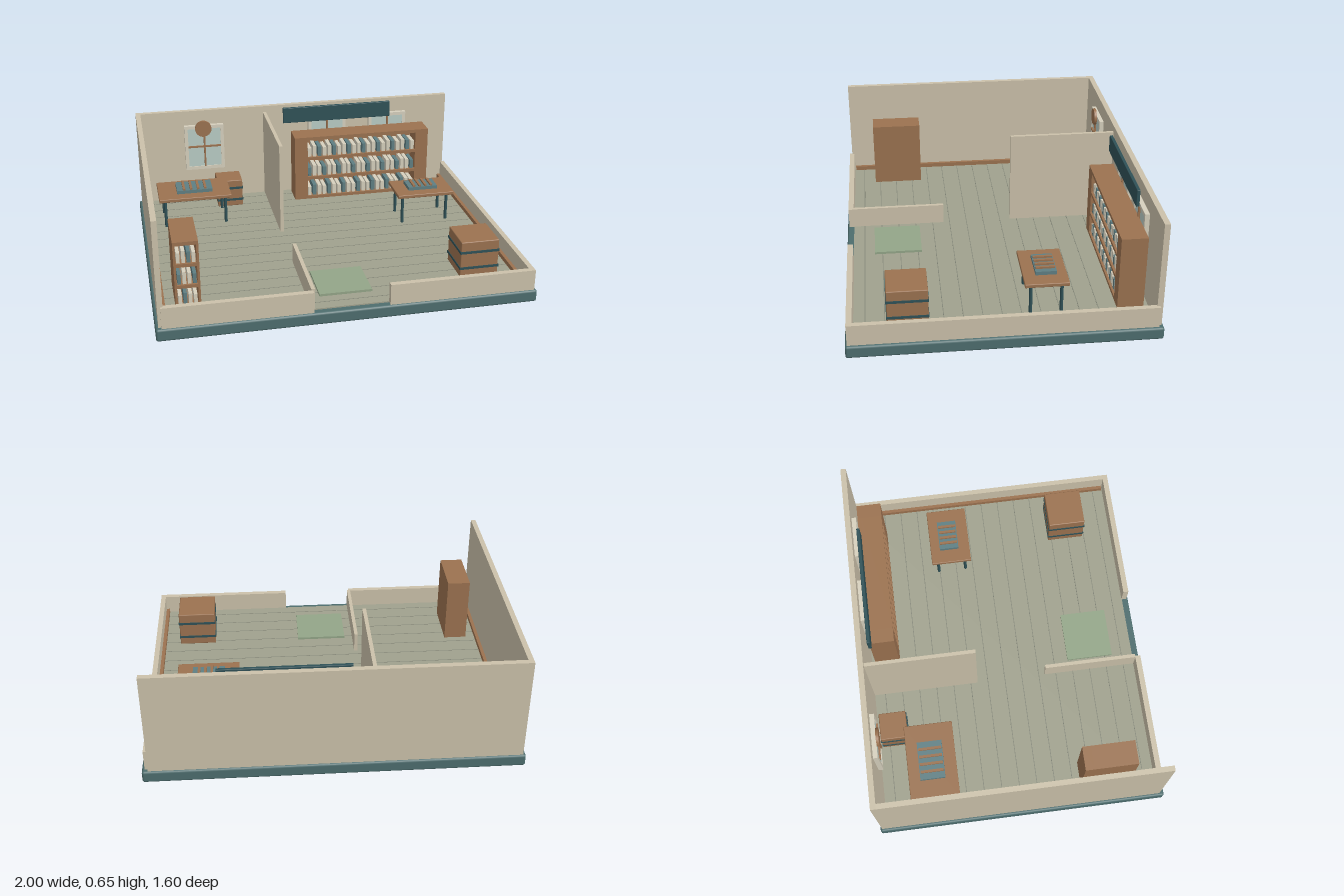
import * as THREE from 'three';
import { RoundedBoxGeometry } from 'three/addons/geometries/RoundedBoxGeometry.js';

const paint = (color) => new THREE.MeshStandardMaterial({ color });
const WALL = paint(0xcbc1aa), BASE = paint(0x4d6d6e), FLOOR = paint(0xa0a18d), SEAM = paint(0x85887a);
const WOOD = paint(0x9b7250), TEAL = paint(0x5f7f83), DARK = paint(0x2f5157), GLASS = paint(0xb9ccc5);
const CREAM = paint(0xd6d0bd), MAT = paint(0x93a588);
const FLOOR_Y = 0.075;

// Box given by its min and max on each axis
function box(parent, name, mat, x0, x1, y0, y1, z0, z1, round = 0) {
  const s = [x1 - x0, y1 - y0, z1 - z0];
  const geo = round ? new RoundedBoxGeometry(...s, 2, round) : new THREE.BoxGeometry(...s);
  const mesh = new THREE.Mesh(geo, mat);
  mesh.name = name;
  mesh.position.set((x0 + x1) / 2, (y0 + y1) / 2, (z0 + z1) / 2);
  parent.add(mesh);
  return mesh;
}

function group(parent, name) {
  const g = new THREE.Group();
  g.name = name;
  parent.add(g);
  return g;
}

// Open bookcase facing +z, with three rows of books
function bookcase(parent, name, x0, x1, z0, z1, top, side, back, count) {
  const g = group(parent, name);
  const a = x0 + side, b = x1 - side;
  box(g, 'sidePanel', WOOD, x0, a, FLOOR_Y, top, z0, z1);
  box(g, 'sidePanel', WOOD, b, x1, FLOOR_Y, top, z0, z1);
  box(g, 'backPanel', WOOD, a, b, FLOOR_Y, top, z0, z0 + back);
  box(g, 'topBoard', WOOD, a, b, top - 0.02, top, z0 + back, z1);
  const pitch = (top - 0.02 - FLOOR_Y) / 3;
  for (let row = 0; row < 3; row++) {
    const y = FLOOR_Y + row * pitch;
    box(g, 'shelf', WOOD, a, b, y, y + 0.018, z0 + back, z1);
    const step = (b - a) / count;
    for (let i = 0; i < count; i++) {
      const x = a + (i + 0.15) * step;
      const h = 0.056 + 0.006 * ((i * 5 + row * 3) % 3);
      box(g, 'book', (i + row) % 3 === 1 ? TEAL : CREAM, x, x + step * 0.68, y + 0.018, y + 0.018 + h, z0 + back, z1 - 0.012);
    }
  }
}

// Table with four round legs and a work tray on top
function table(parent, name, x0, x1, z0, z1, tray) {
  const g = group(parent, name);
  box(g, 'tableTop', WOOD, x0, x1, 0.241, 0.262, z0, z1, 0.004);
  const legGeo = new THREE.CylinderGeometry(0.009, 0.009, 0.241 - FLOOR_Y, 12);
  for (const x of [x0 + 0.035, x1 - 0.035]) {
    for (const z of [z0 + 0.035, z1 - 0.035]) {
      const leg = new THREE.Mesh(legGeo, DARK);
      leg.name = 'tableLeg';
      leg.position.set(x, (0.241 + FLOOR_Y) / 2, z);
      g.add(leg);
    }
  }
  const [a, b, c, d] = tray;
  box(g, 'tray', TEAL, a, b, 0.262, 0.282, c, d);
  for (let i = 1; i <= 4; i++) {
    const x = a + ((b - a) * i) / 5;
    box(g, 'trayBar', WOOD, x - 0.007, x + 0.007, 0.282, 0.292, c + 0.005, d - 0.005);
  }
}

// Wooden crate with two bands around it
function crate(parent, x0, x1, z0, z1, top) {
  const g = group(parent, 'crate');
  const h = top - FLOOR_Y, e = 0.003;
  box(g, 'crateBody', WOOD, x0, x1, FLOOR_Y, top, z0, z1, 0.005);
  for (const f of [0.25, 0.7]) {
    const y = FLOOR_Y + f * h;
    box(g, 'crateBand', DARK, x0 - e, x1 + e, y - 0.007, y + 0.007, z0 - e, z1 + e);
  }
}

// Window on the back wall: frame, pane and cross bars
function windowUnit(parent, x) {
  const g = group(parent, 'window');
  const w = 0.12, t = 0.02, y0 = 0.275, y1 = 0.56, z0 = -0.76, z1 = -0.735;
  box(g, 'windowFrame', CREAM, x - w, x - w + t, y0, y1, z0, z1);
  box(g, 'windowFrame', CREAM, x + w - t, x + w, y0, y1, z0, z1);
  box(g, 'windowFrame', CREAM, x - w + t, x + w - t, y0, y0 + t, z0, z1);
  box(g, 'windowFrame', CREAM, x - w + t, x + w - t, y1 - t, y1, z0, z1);
  box(g, 'windowPane', GLASS, x - w + t, x + w - t, y0 + t, y1 - t, z0, z1 - 0.005);
  box(g, 'windowBar', WOOD, x - 0.005, x + 0.005, y0 + t, y1 - t, z1 - 0.006, z1 + 0.006);
  box(g, 'windowBar', WOOD, x - 0.1, x + 0.1, 0.42, 0.43, z1 - 0.006, z1 + 0.005);
}

export function createModel() {
  const model = new THREE.Group();
  model.name = 'workshopRoom';

  // Base slab and plank floor
  box(model, 'base', BASE, -1, 1, 0, 0.068, -0.8, 0.8, 0.012);
  box(model, 'floor', FLOOR, -0.958, 0.958, 0.066, FLOOR_Y, -0.762, 0.762);
  const seams = group(model, 'floorSeams');
  for (let i = -7; i <= 7; i++) {
    box(seams, 'floorSeam', SEAM, -0.95, 0.95, FLOOR_Y - 0.002, FLOOR_Y + 0.001, i * 0.1 - 0.002, i * 0.1 + 0.002);
  }

  // Outer walls: tall at the back and one side, low at the others
  const walls = group(model, 'walls');
  box(walls, 'backWall', WALL, -0.985, 0.968, 0.066, 0.65, -0.79, -0.76);
  box(walls, 'rightWall', WALL, -0.985, -0.957, 0.066, 0.65, -0.76, 0.775);
  box(walls, 'leftLowWall', WALL, 0.957, 0.985, 0.066, 0.183, -0.775, 0.79);
  box(walls, 'frontLowWall', WALL, -0.97, -0.2, 0.066, 0.183, 0.76, 0.79);
  box(walls, 'frontLowWall', WALL, 0.2, 0.957, 0.066, 0.183, 0.76, 0.79);

  // Partition with a gap between its tall and low parts
  box(walls, 'tallPartition', WALL, -0.21, -0.19, 0.066, 0.612, -0.76, -0.16);
  box(walls, 'lowPartition', WALL, -0.21, -0.19, 0.066, 0.19, 0.235, 0.76);

  // Skirting along both sides
  for (const s of [-1, 1]) {
    box(model, 'skirting', WOOD, s * 0.948 - 0.01, s * 0.948 + 0.01, FLOOR_Y, 0.1, -0.76, 0.755);
  }

  for (const x of [-0.58, 0.192, 0.58]) windowUnit(model, x);

  // Round wall clock and blank sign board
  const clock = new THREE.Mesh(new THREE.CylinderGeometry(0.05, 0.05, 0.015, 32), WOOD);
  clock.name = 'wallClock';
  clock.rotation.x = Math.PI / 2;
  clock.position.set(-0.585, 0.543, -0.727);
  model.add(clock);
  box(model, 'signBoard', DARK, -0.09, 0.59, 0.545, 0.642, -0.732, -0.714, 0.003);

  // Furniture
  bookcase(model, 'wideBookcase', -0.04, 0.81, -0.733, -0.595, 0.485, 0.08, 0.022, 22);
  bookcase(model, 'narrowBookcase', -0.885, -0.755, 0.342, 0.63, 0.455, 0.012, 0.05, 4);
  table(model, 'largeTable', -0.895, -0.47, -0.605, -0.335, [-0.785, -0.575, -0.54, -0.403]);
  table(model, 'smallTable', 0.49, 0.83, -0.34, -0.11, [0.57, 0.745, -0.285, -0.175]);
  crate(model, 0.64, 0.852, 0.378, 0.59, 0.28);
  crate(model, -0.525, -0.373, -0.738, -0.588, 0.243);
  box(model, 'floorMat', MAT, -0.143, 0.14, FLOOR_Y, 0.088, 0.38, 0.643);

  return model;
}
